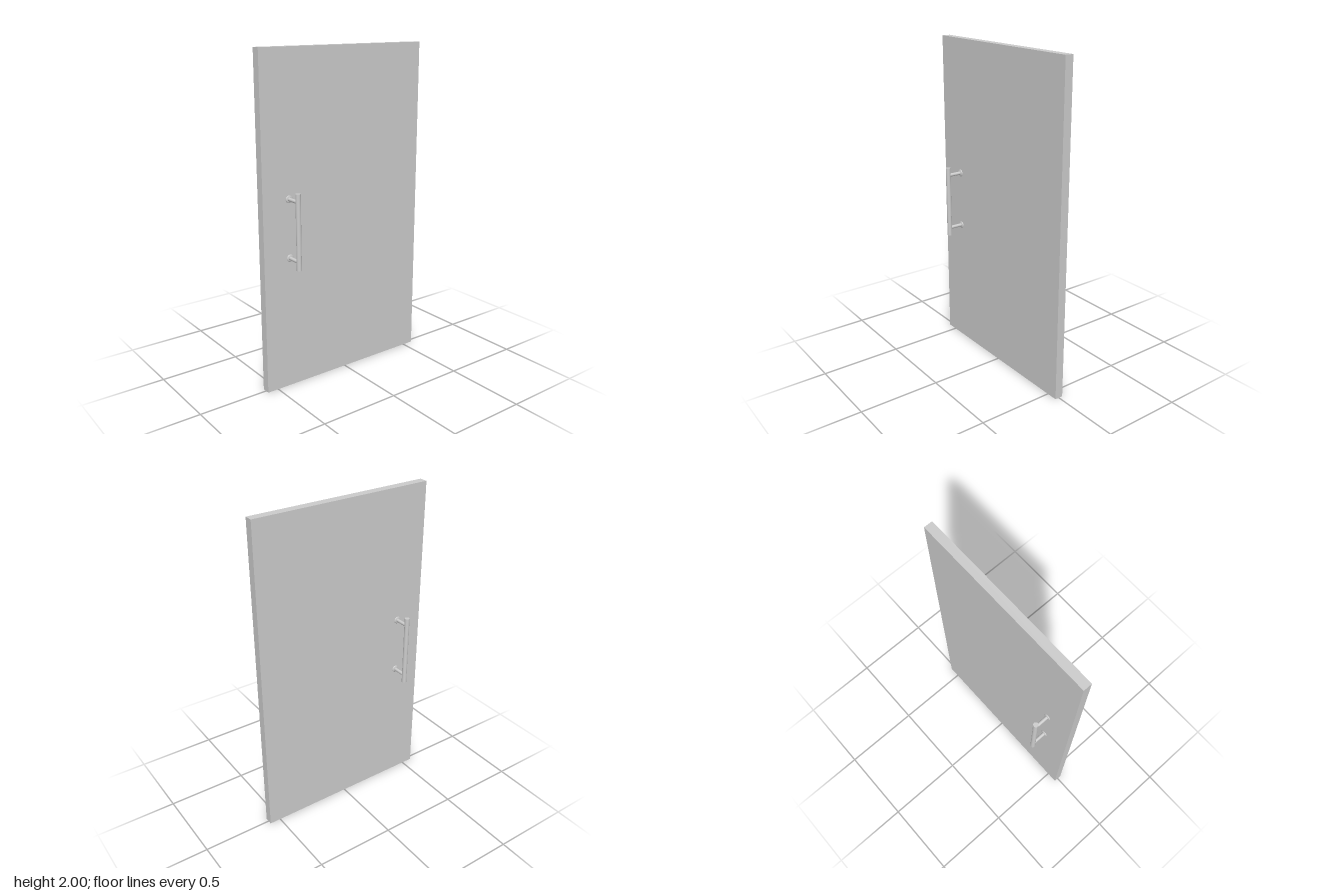
import * as THREE from 'three';

const material = new THREE.MeshStandardMaterial({ color: 0xcccccc });
const HALF_THICKNESS = 0.026;
const HANDLE_Z = 0.397;
const BAR_X = 0.119;

function addMesh(parent, name, geometry, x, y, z) {
  const mesh = new THREE.Mesh(geometry, material);
  mesh.name = name;
  mesh.position.set(x, y, z);
  parent.add(mesh);
  return mesh;
}

// Pull handle on one face of the door; side is +1 (left) or -1 (right)
function createHandle(side) {
  const handle = new THREE.Group();
  handle.name = side > 0 ? 'leftHandle' : 'rightHandle';

  // Upright grip bar
  addMesh(handle, 'gripBar', new THREE.CylinderGeometry(0.015, 0.015, 0.45, 32), side * BAR_X, 0.983, HANDLE_Z);

  // Standoff posts, each with a small rounded collar against the door
  const collarProfile = [[0.022, 0], [0.022, 0.002], [0.019, 0.005], [0.011, 0.006]]
    .map(([r, h]) => new THREE.Vector2(r, h));
  const postLength = BAR_X - HALF_THICKNESS;
  for (const y of [0.808, 1.159]) {
    const post = addMesh(handle, 'post', new THREE.CylinderGeometry(0.0105, 0.0105, postLength, 24),
      side * (HALF_THICKNESS + postLength / 2), y, HANDLE_Z);
    post.rotation.z = -side * Math.PI / 2;
    const collar = addMesh(handle, 'collar', new THREE.LatheGeometry(collarProfile, 32),
      side * HALF_THICKNESS, y, HANDLE_Z);
    collar.rotation.z = -side * Math.PI / 2;
  }
  return handle;
}

export function createModel() {
  const door = new THREE.Group();
  door.name = 'door';

  // Plain door slab
  addMesh(door, 'panel', new THREE.BoxGeometry(HALF_THICKNESS * 2, 2, 1.14), 0, 1, 0);

  // Matching handles on both faces
  for (const side of [1, -1]) door.add(createHandle(side));
  return door;
}
